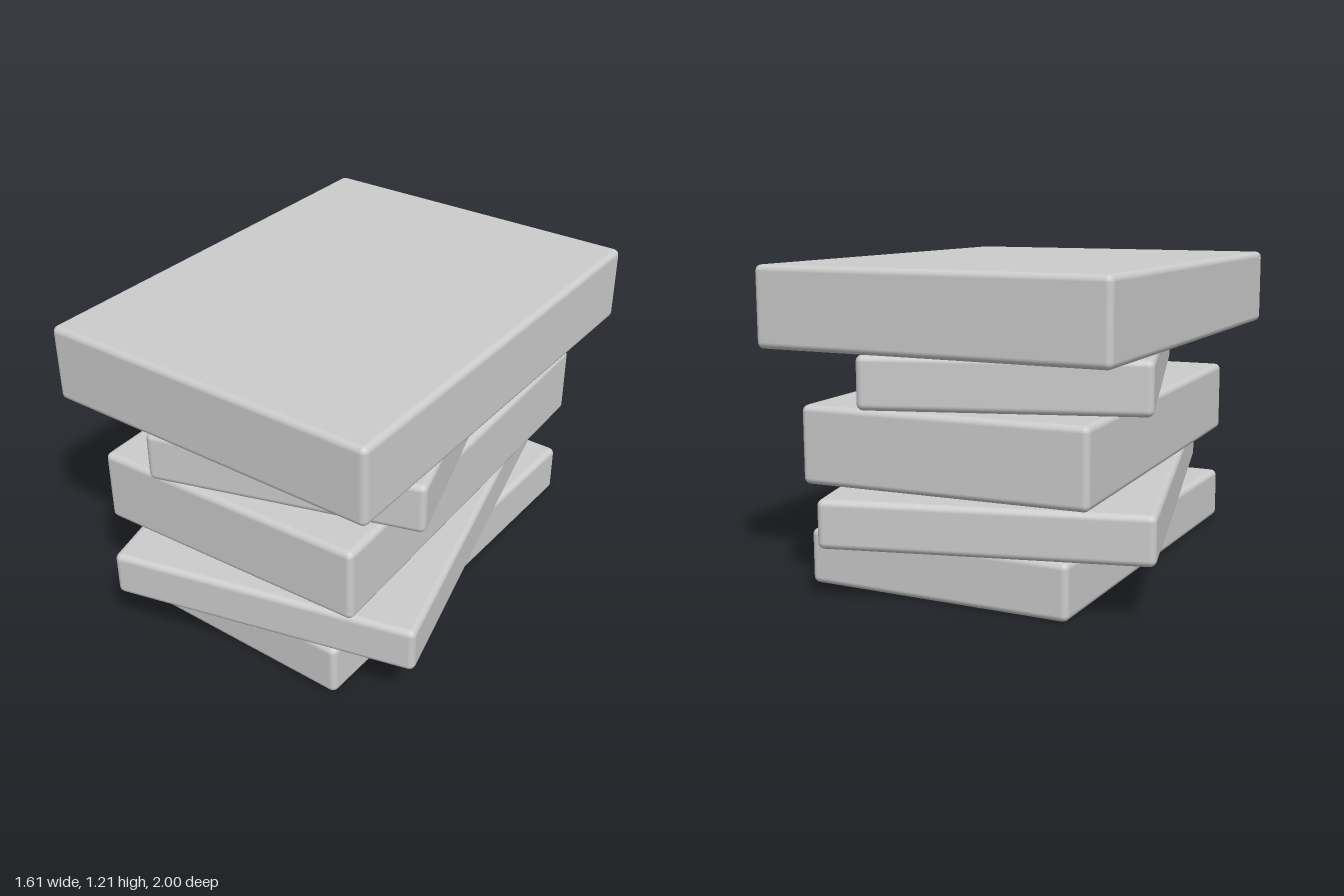
import * as THREE from 'three';
import { RoundedBoxGeometry } from 'three/addons/geometries/RoundedBoxGeometry.js';

// Slabs from bottom to top: width, depth, underside, top, turn in degrees
const slabs = [
  { name: 'bottomSlab', w: 1.063, d: 1.662, y0: 0, y1: 0.213, turn: -8 },
  { name: 'secondSlab', w: 1.203, d: 1.872, y0: 0.213, y1: 0.395, turn: 7 },
  { name: 'middleSlab', w: 1.129, d: 1.723, y0: 0.397, y1: 0.695, turn: -5 },
  { name: 'fourthSlab', w: 1.059, d: 1.584, y0: 0.695, y1: 0.896, turn: 10 },
  { name: 'topSlab', w: 1.402, d: 1.827, y0: 0.896, y1: 1.205, turn: -7 },
];

export function createModel() {
  const model = new THREE.Group();
  model.name = 'slabStack';

  const grey = new THREE.MeshStandardMaterial({ color: 0xcccccc });
  grey.name = 'lightGrey';

  // Each slab has softly rounded edges and is turned against the one below
  for (const { name, w, d, y0, y1, turn } of slabs) {
    const slab = new THREE.Mesh(new RoundedBoxGeometry(w, y1 - y0, d, 3, 0.025), grey);
    slab.name = name;
    slab.position.y = (y0 + y1) / 2;
    slab.rotation.y = THREE.MathUtils.degToRad(turn);
    model.add(slab);
  }
  return model;
}
